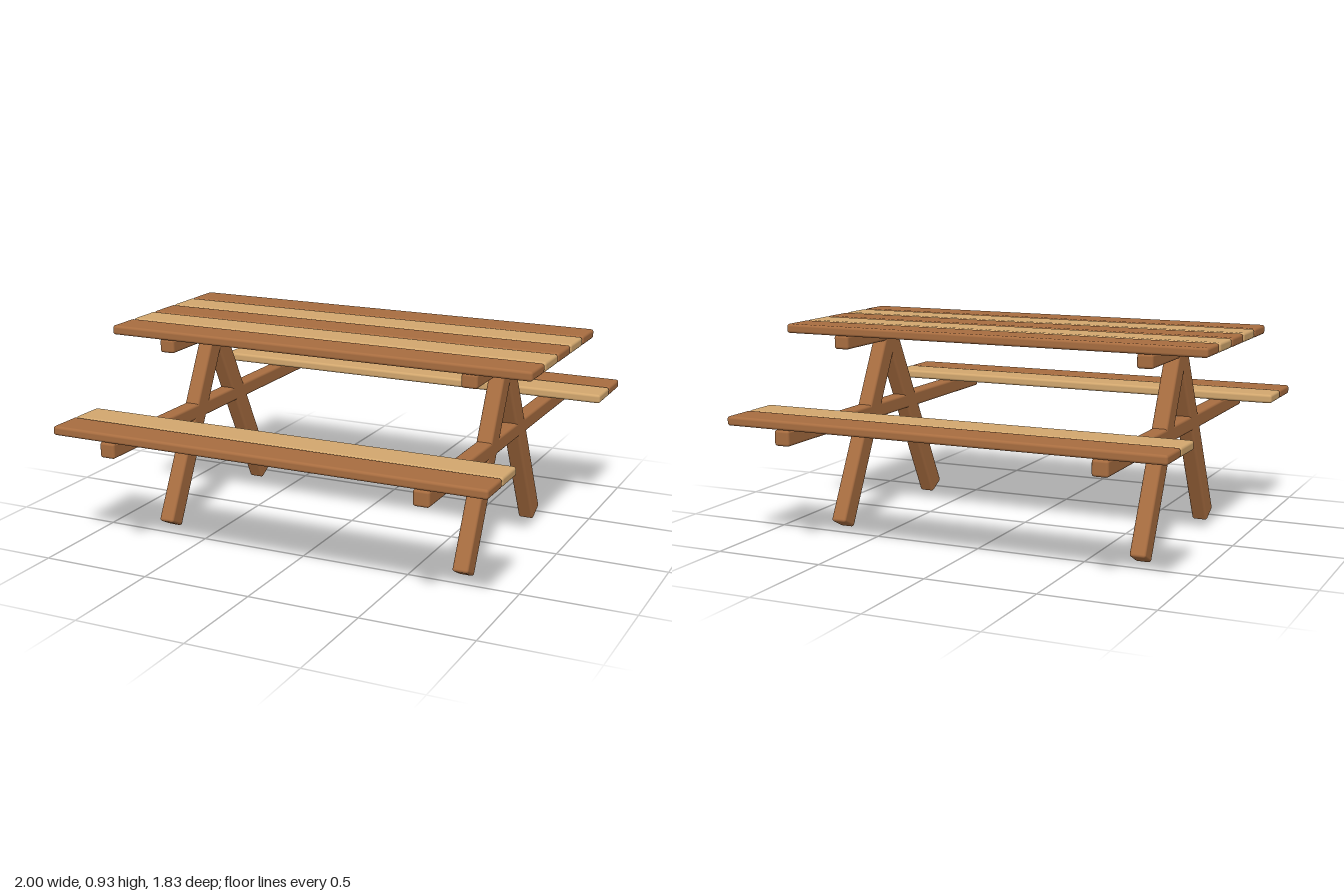
import * as THREE from 'three';
import { RoundedBoxGeometry } from 'three/addons/geometries/RoundedBoxGeometry.js';

export function createModel() {
  const brown = new THREE.MeshStandardMaterial({ color: 0xa86d40 });
  brown.name = 'brownWood';
  const tan = new THREE.MeshStandardMaterial({ color: 0xd2a76e });
  tan.name = 'tanWood';

  const model = new THREE.Group();
  model.name = 'picnicTable';

  // A softly rounded timber
  function timber(parent, name, size, position, material) {
    const mesh = new THREE.Mesh(new RoundedBoxGeometry(...size, 3, 0.012), material);
    mesh.name = name;
    mesh.position.set(...position);
    parent.add(mesh);
    return mesh;
  }

  // Tabletop: five boards in alternating woods
  const top = new THREE.Group();
  top.name = 'tabletop';
  model.add(top);
  for (let i = -2; i <= 2; i++) {
    timber(top, 'tabletopBoard', [2, 0.042, 0.165], [0, 0.908, i * 0.1755], i % 2 ? tan : brown);
  }

  // Benches: tan inner board and brown outer board on each side
  for (const side of [1, -1]) {
    const bench = new THREE.Group();
    bench.name = side > 0 ? 'frontBench' : 'backBench';
    model.add(bench);
    timber(bench, 'innerBenchBoard', [2, 0.041, 0.163], [0, 0.5605, side * 0.667], tan);
    timber(bench, 'outerBenchBoard', [2, 0.041, 0.163], [0, 0.5605, side * 0.8335], brown);
  }

  // End frames: top rail, bench rail and two crossing legs
  const thick = 0.072;
  const apex = 0.854, footY = 0.018, footZ = 0.433;
  const angle = Math.atan2(footZ, apex - footY);
  const legLength = Math.hypot(footZ, apex - footY);
  for (const x of [0.725, -0.725]) {
    const frame = new THREE.Group();
    frame.name = x > 0 ? 'leftFrame' : 'rightFrame';
    frame.position.x = x;
    model.add(frame);
    timber(frame, 'topRail', [thick, 0.063, 0.828], [0, 0.8555, 0], brown);
    timber(frame, 'benchRail', [thick, 0.07, 1.826], [0, 0.505, 0], brown);
    for (const side of [1, -1]) {
      const leg = timber(frame, side > 0 ? 'frontLeg' : 'backLeg', [thick, legLength, 0.096],
        [0, (apex + footY) / 2, side * footZ / 2], brown);
      leg.rotation.x = -side * angle;
    }
  }

  return model;
}
